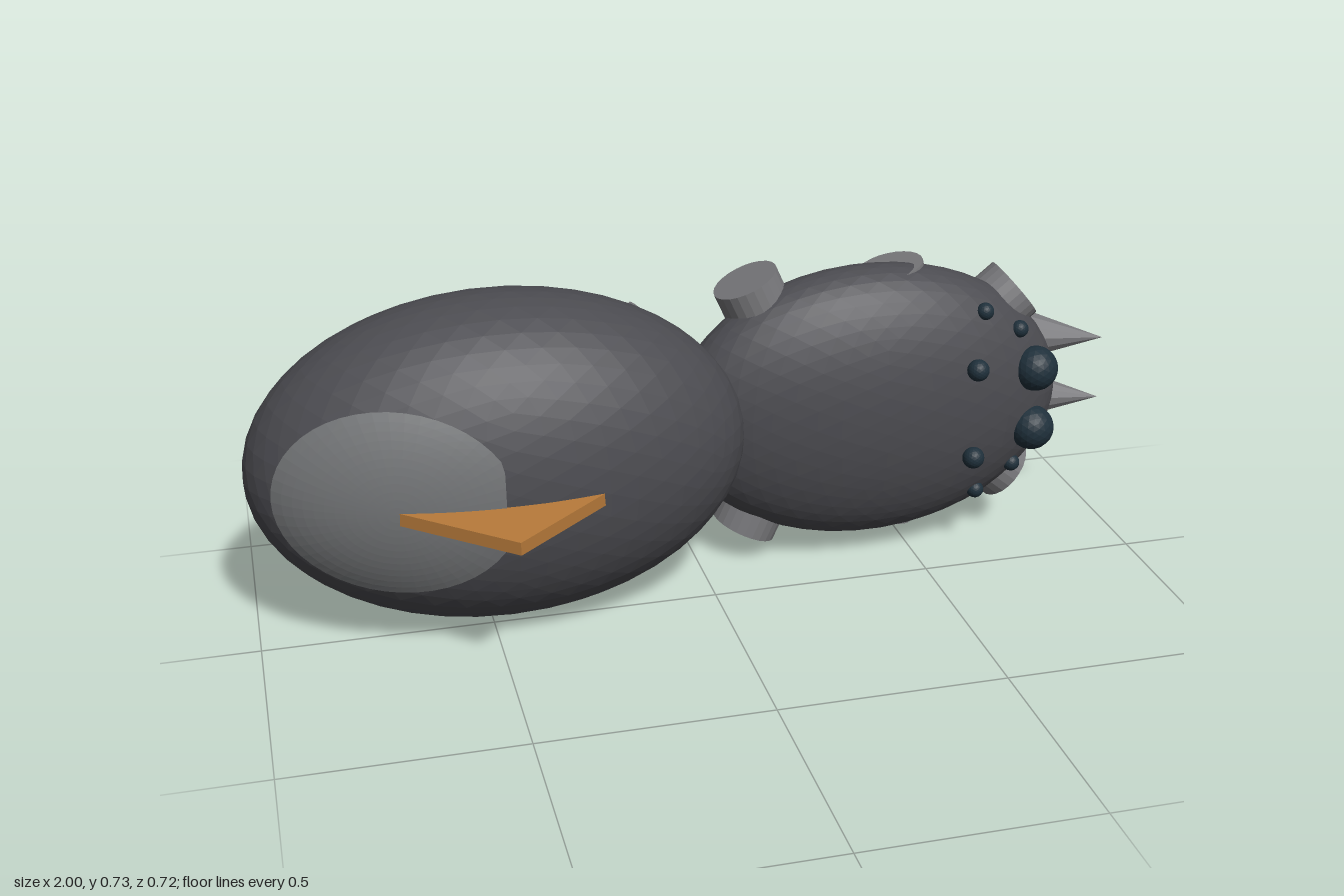
import * as THREE from 'three';

const MID = 0.37; // height of the body's plane of symmetry

const paint = (name, color) => {
  const m = new THREE.MeshStandardMaterial({ color });
  m.name = name;
  return m;
};

export function createModel() {
  const group = new THREE.Group();
  group.name = 'spider';
  const body = paint('charcoal', 0x4b4b50);
  const limb = paint('midGrey', 0x78787b);
  const pale = paint('paleGrey', 0x727476);
  const dark = paint('darkBlue', 0x1f303b);
  const amber = paint('amber', 0xb87b3b);

  const add = (name, geo, mat) => {
    const flat = geo.index ? geo.toNonIndexed() : geo;
    flat.computeVertexNormals(); // unshared corners give faceted shading
    const mesh = new THREE.Mesh(flat, mat);
    mesh.name = name;
    group.add(mesh);
    return mesh;
  };
  const ball = (name, mat, c, r, detail) => {
    const geo = new THREE.IcosahedronGeometry(1, detail);
    geo.scale(...r);
    add(name, geo, mat).position.set(...c);
  };
  // Places a cylinder or cone so its +y axis follows dir
  const aim = (mesh, pos, dir) => {
    mesh.position.set(...pos);
    mesh.quaternion.setFromUnitVectors(new THREE.Vector3(0, 1, 0), new THREE.Vector3(...dir).normalize());
  };

  // Two body sections
  const A = { c: [-0.46, MID, -0.083], r: [0.542, 0.367, 0.278] };
  ball('abdomen', body, A.c, A.r, 8);
  ball('head', body, [0.4, MID, -0.168], [0.455, 0.325, 0.16], 8);

  // Pale marking hugging the abdomen's surface
  const patch = new THREE.RingGeometry(0, 1, 48, 12);
  const p = patch.attributes.position;
  for (let i = 0; i < p.count; i++) {
    const x = Math.min(-0.705 + 0.245 * p.getX(i), -0.487);
    const y = MID + 0.205 * p.getY(i);
    const u = (x - A.c[0]) / A.r[0], v = (y - MID) / A.r[1];
    p.setXYZ(i, x, y, A.c[2] + A.r[2] * Math.sqrt(1.015 - u * u - v * v));
  }
  add('abdomenPatch', patch, pale);

  // Triangular fin rising from the abdomen
  const tri = new THREE.Shape([[-0.26, 0.13], [0.26, 0.13], [0, 0.356]].map(q => new THREE.Vector2(...q)));
  const fin = new THREE.ExtrudeGeometry(tri, { depth: 0.028, bevelEnabled: false });
  fin.rotateX(Math.PI / 2);
  add('fin', fin, amber).position.set(-0.485, 0.374, 0);

  // Leg stubs: centre of the outer end (x, offset from MID), outward direction
  const legs = [
    [0.76, 0.228, 0.775, 0.63],
    [0.455, 0.305, -0.25, 0.97],
    [0.118, 0.302, -0.41, 0.91],
    [-0.088, 0.215, 0.7, 0.71],
  ];
  // Eyes: x, offset from MID, z, radius
  const eyes = [
    [0.772, 0.073, -0.08, 0.052],
    [0.61, 0.107, -0.022, 0.025],
    [0.645, 0.22, -0.087, 0.02],
    [0.735, 0.166, -0.097, 0.02],
  ];
  for (const s of [1, -1]) {
    const side = s > 0 ? 'Upper' : 'Lower';
    legs.forEach(([x, y, dx, dy], i) => {
      const len = 0.24;
      const leg = add(`leg${i + 1}${side}`, new THREE.CylinderGeometry(0.076, 0.076, len, 24), limb);
      aim(leg, [x - dx * len / 2, MID + s * (y - dy * len / 2), -0.2], [dx, s * dy, 0]);
    });
    eyes.forEach(([x, y, z, r], i) =>
      ball(`eye${i + 1}${side}`, dark, [x, MID + s * y, z], [r, r, r], 3));
    const fang = add(`fang${side}`, new THREE.ConeGeometry(0.057, 0.174, 12), limb);
    aim(fang, [0.916, MID + s * 0.076, -0.244], [0.163, 0, 0.06]);
  }
  return group;
}
